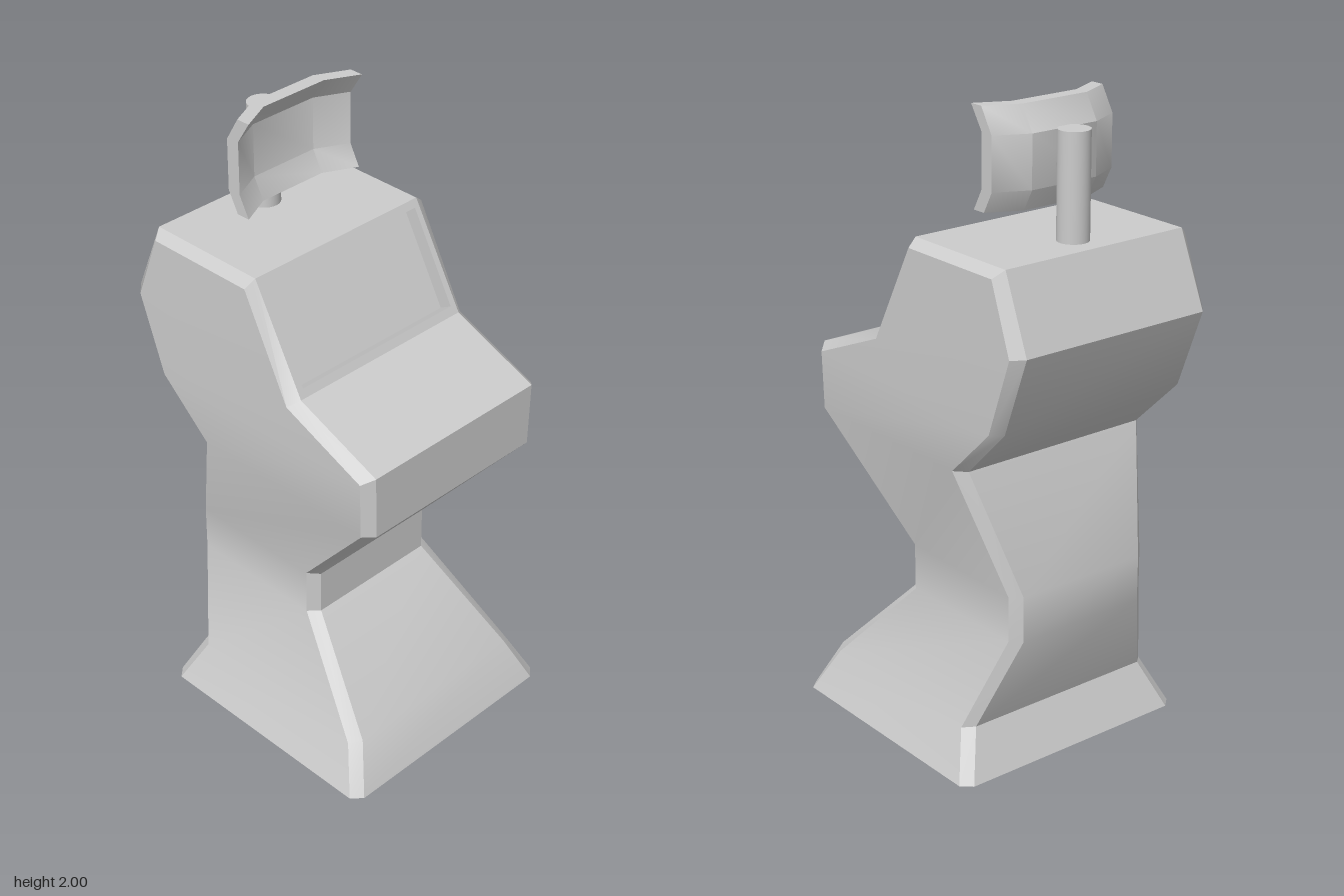
import * as THREE from 'three';
import { toCreasedNormals } from 'three/addons/utils/BufferGeometryUtils.js';

const material = new THREE.MeshStandardMaterial({ color: 0xcccccc });

// Mesh from quads whose corners run counter-clockwise seen from outside
function quadMesh(name, quads) {
  const pos = [];
  for (const [a, b, c, d] of quads) pos.push(...a, ...b, ...c, ...a, ...c, ...d);
  const geo = new THREE.BufferGeometry();
  geo.setAttribute('position', new THREE.Float32BufferAttribute(pos, 3));
  const mesh = new THREE.Mesh(toCreasedNormals(geo, Math.PI / 6), material);
  mesh.name = name;
  return mesh;
}

// Quads joining consecutive closed rings, leaving out those where skip(i, j) holds
function loft(rings, skip = () => false) {
  const quads = [];
  for (let i = 0; i < rings.length - 1; i++) {
    const lo = rings[i], hi = rings[i + 1], n = lo.length;
    for (let j = 0; j < n; j++) {
      const k = (j + 1) % n;
      if (!skip(i, j)) quads.push([lo[j], lo[k], hi[k], hi[j]]);
    }
  }
  return quads;
}

// End caps given as index quads of the ring
function caps(rings, faces) {
  const first = rings[0], last = rings[rings.length - 1];
  return faces.flatMap((f) => [f.map((i) => last[i]), [...f].reverse().map((i) => first[i])]);
}

function createCabinet(group) {
  // Per level: half width, then [z, y] of front edge, front chamfer, back chamfer, back edge
  const levels = [
    [0.42, [0.5, 0], [0.47, 0], [-0.305, 0], [-0.335, 0]],
    [0.357, [0.43, 0.15], [0.4, 0.14], [-0.235, 0.145], [-0.265, 0.15]],
    [0.257, [0.15, 0.44], [0.12, 0.44], [-0.335, 0.44], [-0.365, 0.44]],
    [0.257, [0.15, 0.585], [0.12, 0.59], [-0.335, 0.585], [-0.365, 0.585]],
    [0.355, [0.475, 0.965], [0.445, 0.965], [-0.2, 0.965], [-0.235, 0.965]],
    [0.36, [0.475, 1.17], [0.445, 1.15], [-0.375, 1.13], [-0.405, 1.13]],
    [0.36, [0.18, 1.29], [0.155, 1.27], [-0.465, 1.375], [-0.5, 1.38]],
    [0.357, [0, 1.61], [-0.01, 1.585], [-0.385, 1.585], [-0.405, 1.61]],
  ];
  const rings = levels.map(([w, ...p]) => {
    const side = p.map(([z, y], i) => [i === 0 || i === 3 ? w - 0.033 : w, y, z]);
    return [...side, ...[...side].reverse().map(([x, y, z]) => [-x, y, z])];
  });
  const quads = loft(rings, (i, j) => i === 6 && j === 7);
  quads.push(...caps(rings, [[0, 1, 2, 3], [0, 3, 4, 7], [4, 5, 6, 7]]));

  // Sloped front panel with a rectangular screen recess
  const outer = [rings[6][7], rings[6][0], rings[7][0], rings[7][7]];
  const onSlope = (x, t) => [x, 1.29 + 0.32 * t, 0.18 - 0.18 * t];
  const opening = [onSlope(-0.306, 0.075), onSlope(0.306, 0.075), onSlope(0.306, 0.93), onSlope(-0.306, 0.93)];
  const depth = 0.045;
  const floor = opening.map(([x, y, z]) => [x, y - 0.49 * depth, z - 0.872 * depth]);
  quads.push(...loft([outer, opening, floor]));
  group.add(quadMesh('cabinet', quads), quadMesh('screen', [floor]));
}

function createSign(group) {
  // Support post
  const post = new THREE.Mesh(new THREE.CylinderGeometry(0.048, 0.048, 0.34, 32), material);
  post.name = 'signPost';
  post.position.set(0, 1.76, -0.305);
  group.add(post);

  // Curved plate: the [z, y] section, back then front, runs along a bent line
  const section = [
    [-0.18, 1.7], [-0.215, 1.765], [-0.215, 1.925], [-0.17, 2],
    [-0.125, 2], [-0.17, 1.93], [-0.17, 1.765], [-0.135, 1.7],
  ];
  const stations = [[-0.22, 0], [-0.117, -0.05], [0.117, -0.05], [0.22, 0]];
  const rings = stations.map(([x, dz]) => section.map(([z, y]) => [x, y, z + dz]));
  group.add(quadMesh('signPlate', [
    ...loft(rings),
    ...caps(rings, [[0, 1, 6, 7], [1, 2, 5, 6], [2, 3, 4, 5]]),
  ]));
}

export function createModel() {
  const group = new THREE.Group();
  group.name = 'arcadeKiosk';
  createCabinet(group);
  createSign(group);
  return group;
}
